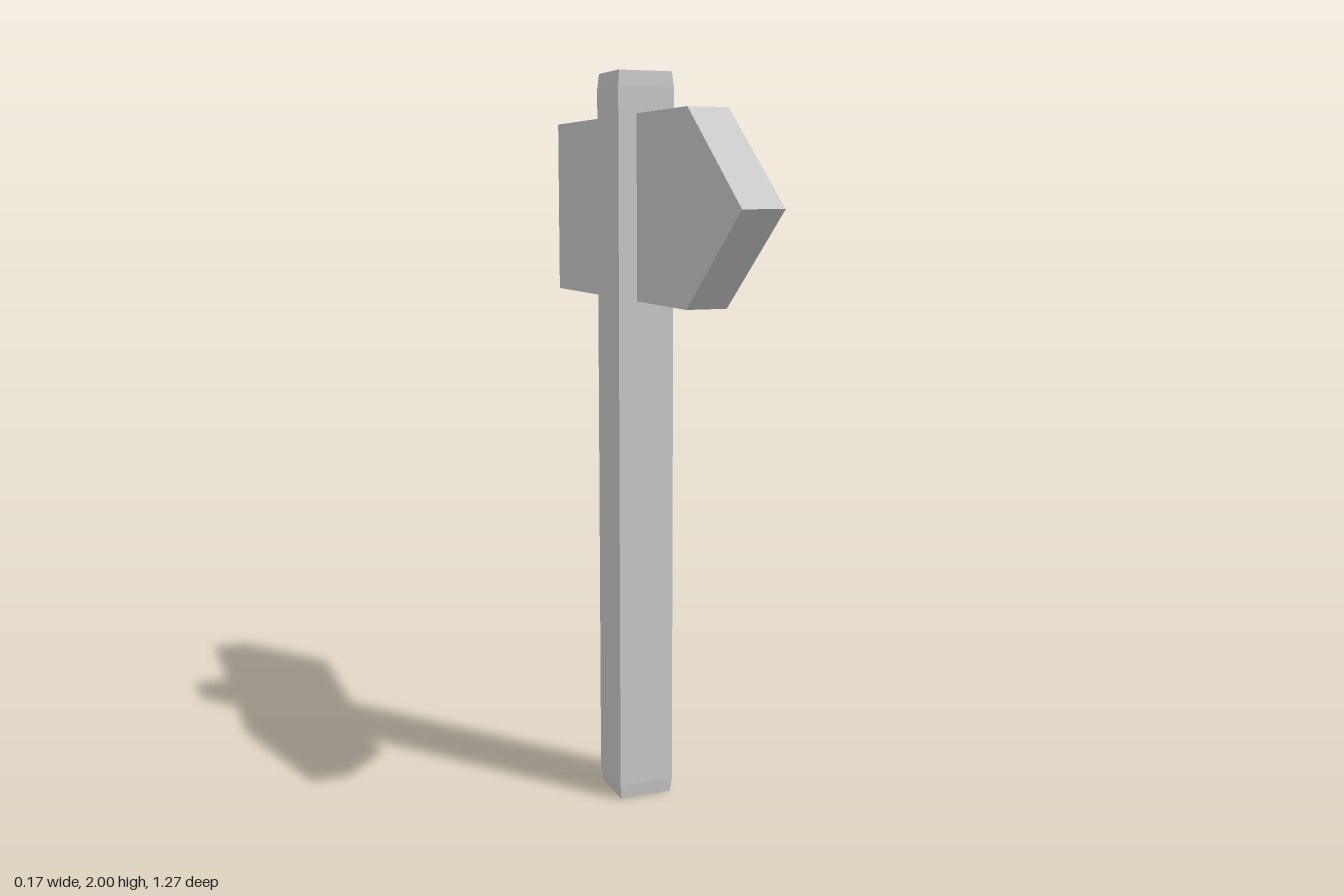
import * as THREE from 'three';

const material = new THREE.MeshStandardMaterial({ color: 0xcccccc, flatShading: true });

function addPart(group, name, geometry) {
  const mesh = new THREE.Mesh(geometry, material);
  mesh.name = name;
  group.add(mesh);
  return mesh;
}

// Square post whose two ends narrow slightly
function postGeometry(width, height) {
  const geometry = new THREE.BoxGeometry(width, height, width, 1, 3, 1);
  const p = geometry.attributes.position;
  for (let i = 0; i < p.count; i++) {
    const y = p.getY(i);
    const isEnd = Math.abs(y) > height * 0.4;
    const s = isEnd ? 0.95 : 1;
    p.setXYZ(i, p.getX(i) * s, isEnd ? y : Math.sign(y) * (height / 2 - 0.04), p.getZ(i) * s);
  }
  geometry.computeVertexNormals();
  return geometry;
}

// Arrow outline drawn in (z, y), extruded through x
function boardGeometry(thickness) {
  const outline = [[-0.635, 1.4], [0.328, 1.4], [0.635, 1.647], [0.328, 1.89], [-0.635, 1.89]];
  const shape = new THREE.Shape(outline.map(([z, y]) => new THREE.Vector2(z, y)));
  const geometry = new THREE.ExtrudeGeometry(shape, { depth: thickness, bevelEnabled: false });
  return geometry.rotateY(-Math.PI / 2);
}

export function createModel() {
  const group = new THREE.Group();
  group.name = 'signpost';

  addPart(group, 'post', postGeometry(0.157, 2)).position.set(-0.007, 1, -0.078);
  addPart(group, 'arrowBoard', boardGeometry(0.11)).position.x = 0.076;

  // Nail heads, one near each edge of the board
  for (const [name, y] of [['upperNail', 1.855], ['lowerNail', 1.44]]) {
    const nail = addPart(group, name, new THREE.CylinderGeometry(0.015, 0.019, 0.02, 8));
    nail.rotation.z = -Math.PI / 2;
    nail.position.set(0.073, y, -0.088);
  }
  return group;
}
